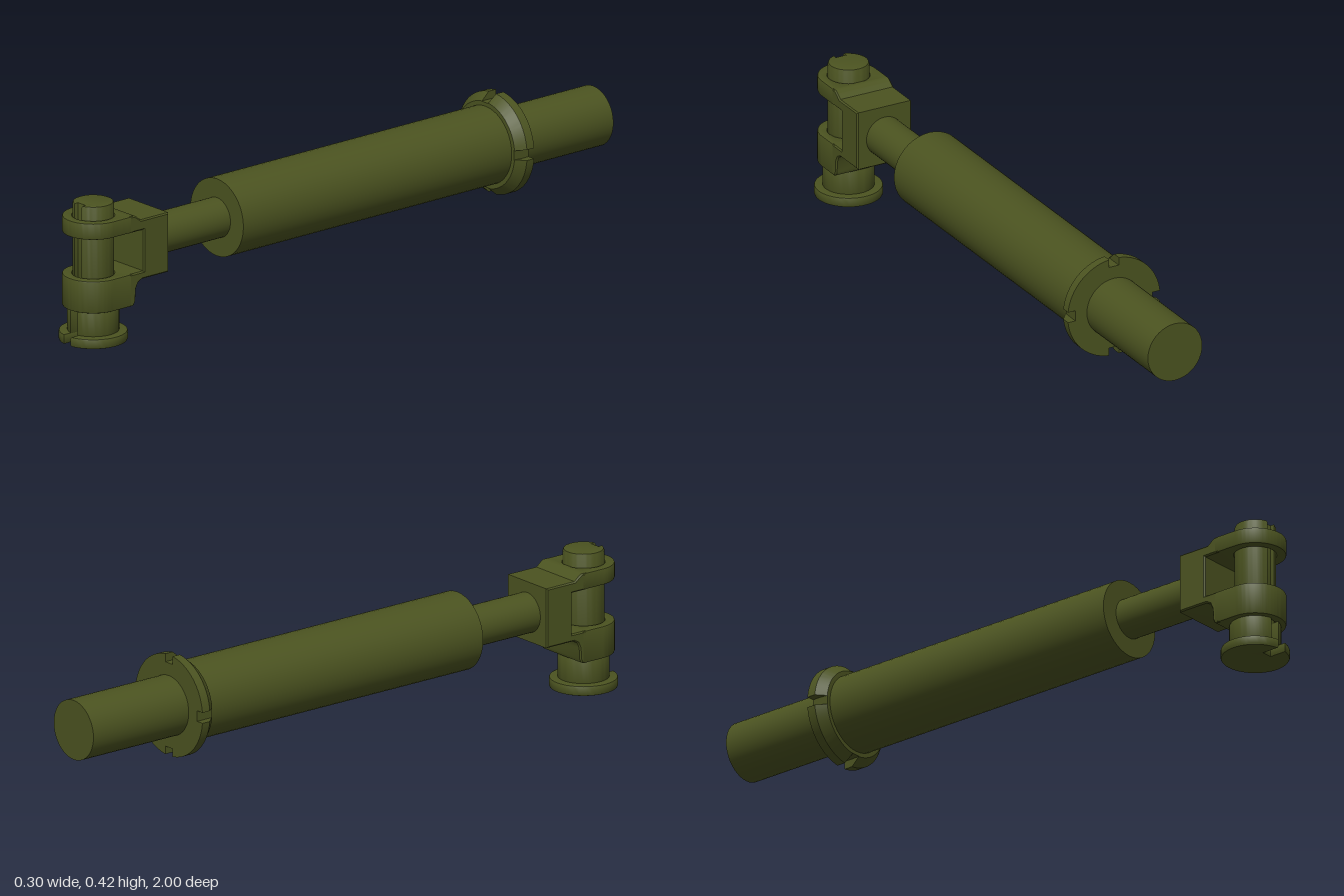
import * as THREE from 'three';
import { toCreasedNormals } from 'three/addons/utils/BufferGeometryUtils.js';

const AXIS_Y = 0.267; // height of the long shaft
const PIN_Z = 0.9;    // position of the upright pin

export function createModel() {
  const group = new THREE.Group();
  const material = new THREE.MeshStandardMaterial({ color: 0x4b5320 });

  const add = (name, geometry) => {
    const mesh = new THREE.Mesh(geometry, material);
    mesh.name = name;
    group.add(mesh);
    return mesh;
  };

  // Round bar along z between two depths
  const bar = (name, r, z0, z1) => {
    const g = new THREE.CylinderGeometry(r, r, z1 - z0, 40);
    g.rotateX(Math.PI / 2).translate(0, AXIS_Y, (z0 + z1) / 2);
    add(name, g);
  };

  // Plan shape raised from y0 to y1 around the pin centre, with softened rims
  const raise = (name, shape, y0, y1, bevel) => {
    const g = new THREE.ExtrudeGeometry(shape, {
      depth: y1 - y0 - 2 * bevel, bevelThickness: bevel, bevelSize: bevel,
      bevelOffset: -bevel, bevelSegments: 2, curveSegments: 24,
    });
    g.rotateX(Math.PI / 2).translate(0, y1 - bevel, PIN_Z);
    add(name, toCreasedNormals(g, 0.6));
  };

  // Shaft
  bar('rearRod', 0.09, -1, -0.64);
  bar('sleeve', 0.117, -0.645, 0.43);
  bar('frontRod', 0.06, 0.42, 0.7);

  // Flange with four rim notches and a chamfered front
  const rim = 0.153, core = 0.128, half = 0.016;
  const flange = new THREE.Shape();
  const a = Math.asin(half / rim);
  for (let i = 0; i < 4; i++) {
    const start = (i * Math.PI) / 2, end = start + Math.PI / 2;
    flange.absarc(0, 0, rim, start + a, end - a, false);
    const c = Math.cos(end), s = Math.sin(end);
    for (const side of [-half, half]) flange.lineTo(core * c - side * s, core * s + side * c);
  }
  flange.closePath();
  const flangeGeo = new THREE.ExtrudeGeometry(flange, {
    depth: 0.055, steps: 2, bevelEnabled: false, curveSegments: 10,
  });
  const pos = flangeGeo.attributes.position;
  for (let i = 0; i < pos.count; i++) {
    const r = Math.hypot(pos.getX(i), pos.getY(i));
    if (pos.getZ(i) > 0.05 && r > core + 0.002) {
      const k = (core + 0.002) / r;
      pos.setXY(i, pos.getX(i) * k, pos.getY(i) * k);
    }
  }
  flangeGeo.translate(0, AXIS_Y, -0.645);
  flangeGeo.computeVertexNormals();
  add('notchedFlange', toCreasedNormals(flangeGeo, 0.5));

  // Fork block, drawn as a side profile (z, y) and extruded across x
  const profile = new THREE.Shape([
    [0.69, 0.18], [0.79, 0.18], [0.805, 0.172], [0.813, 0.155], [0.815, 0.12], [0.82, 0.109],
    [0.83, 0.105], [0.838, 0.105], [0.838, 0.203], [0.785, 0.203], [0.785, 0.328],
    [0.838, 0.328], [0.838, 0.378], [0.82, 0.378], [0.81, 0.372], [0.795, 0.36], [0.69, 0.36],
  ].map(([z, y]) => new THREE.Vector2(z, y)));
  const block = new THREE.ExtrudeGeometry(profile, {
    depth: 0.172, bevelThickness: 0.004, bevelSize: 0.004, bevelOffset: -0.004, bevelSegments: 1,
  });
  block.rotateY(-Math.PI / 2).translate(0.086, 0, 0);
  add('forkBlock', toCreasedNormals(block, 0.6));

  // Rounded fork lugs with a hole for the pin
  const lug = new THREE.Shape();
  lug.moveTo(-0.09, -0.075);
  lug.lineTo(0.09, -0.075);
  lug.absarc(0, 0, 0.09, 0, Math.PI, false);
  lug.closePath();
  lug.holes.push(new THREE.Path().absarc(0, 0, 0.061, 0, Math.PI * 2, true));
  raise('upperLug', lug, 0.328, 0.378, 0.005);
  raise('lowerLug', lug, 0.105, 0.203, 0.005);

  // Pin sections, all cut by one straight groove at the front
  const grooved = (r) => {
    const w = 0.015, floor = 0.045, t = Math.asin(w / r);
    const s = new THREE.Shape();
    s.absarc(0, 0, r, Math.PI / 2 + t, Math.PI * 2.5 - t, false);
    s.lineTo(w, floor);
    s.lineTo(-w, floor);
    s.closePath();
    return s;
  };
  raise('pin', grooved(0.06), 0.09, 0.42, 0.008);
  raise('pinCollar', grooved(0.075), 0.025, 0.107, 0.006);
  raise('pinFoot', grooved(0.1), 0, 0.031, 0.006);

  return group;
}
